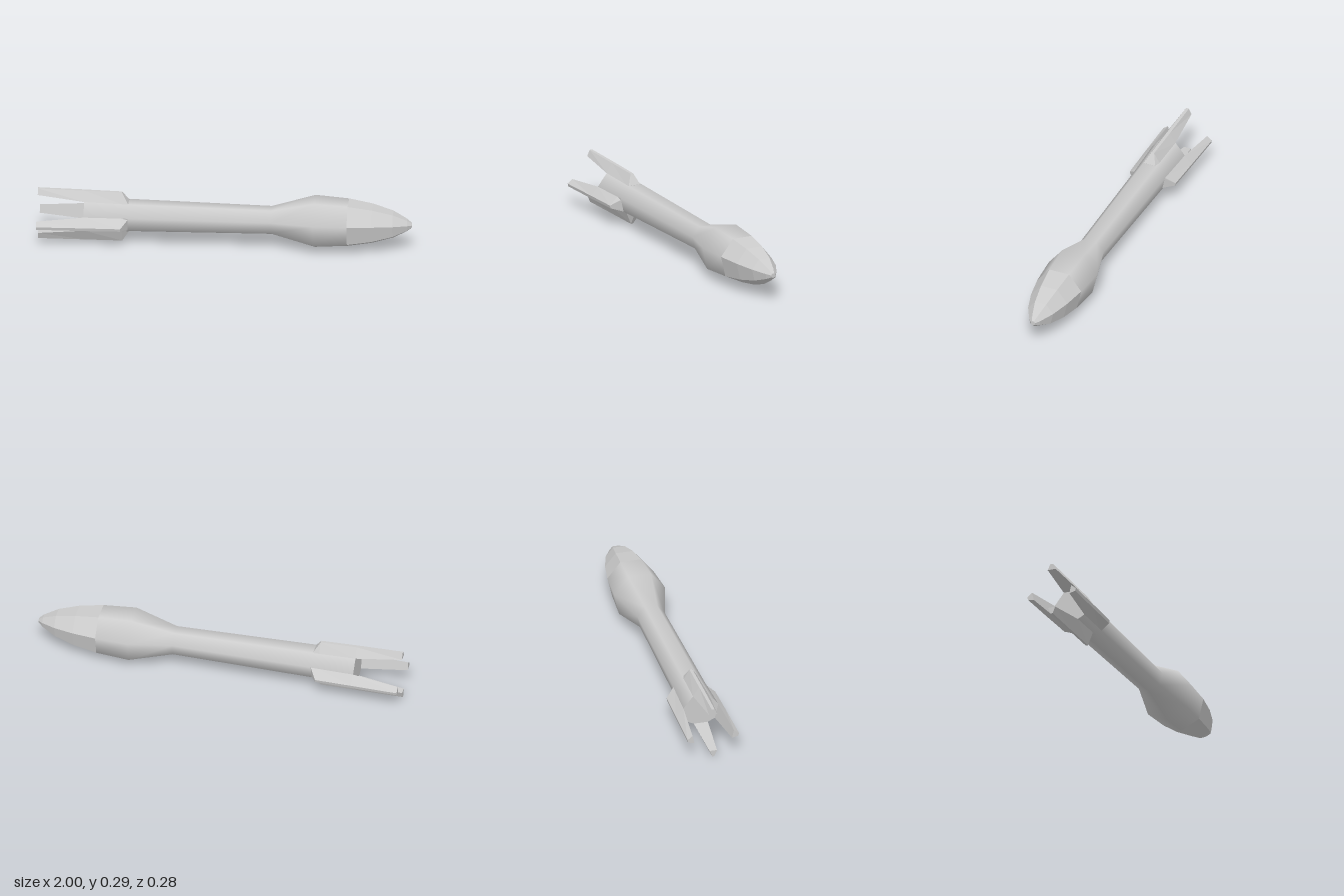
import * as THREE from 'three';

const SIDES = 7;
const AXIS_Y = 0.15;
const HALF = Math.PI / SIDES;

export function createModel() {
  const model = new THREE.Group();
  const smooth = new THREE.MeshStandardMaterial({ color: 0xcccccc });
  const flat = new THREE.MeshStandardMaterial({ color: 0xcccccc, flatShading: true });

  const add = (name, geometry, material) => {
    const mesh = new THREE.Mesh(geometry, material);
    mesh.name = name;
    mesh.position.y = AXIS_Y;
    model.add(mesh);
    return mesh;
  };

  // Seven-sided turned shape along x, one corner pointing down; profile is [x, radius]
  const turned = (profile) =>
    new THREE.LatheGeometry(profile.map(([x, r]) => new THREE.Vector2(r, x)), SIDES, Math.PI / 2)
      .rotateZ(-Math.PI / 2);

  // Smooth shaft swelling into the warhead
  add('body', turned([[-0.75, 0.099], [-0.52, 0.09], [0.25, 0.078], [0.48, 0.145], [0.66, 0.132]]), smooth);

  // Flat end of the shaft, between the prongs
  add('tailCap', turned([[-0.75, 0], [-0.75, 0.099]]), flat);

  // Faceted nose cone with a blunt tip
  add('nose', turned([[0.66, 0.132], [0.79, 0.109], [0.9, 0.075], [0.975, 0.034], [1, 0.013], [1, 0]]), flat);

  // Fin lofted through trapezoids: [x, inner radius, inner half width, outer radius, outer half width]
  const finGeometry = (sections) => {
    const pos = [];
    const index = [];
    for (const [x, r0, w0, r1, w1] of sections) {
      pos.push(x, r0, -w0, x, r1, -w1, x, r1, w1, x, r0, w0);
    }
    const last = (sections.length - 1) * 4;
    for (let s = 0; s < last; s += 4) {
      for (let k = 0; k < 4; k++) {
        const a = s + k;
        const b = s + ((k + 1) % 4);
        index.push(a, a + 4, b, b, a + 4, b + 4);
      }
    }
    index.push(0, 1, 2, 0, 2, 3, last, last + 2, last + 1, last, last + 3, last + 2);
    const geometry = new THREE.BufferGeometry();
    geometry.setAttribute('position', new THREE.Float32BufferAttribute(pos, 3));
    geometry.setIndex(index);
    geometry.computeVertexNormals();
    return geometry;
  };

  const c = Math.cos(HALF);
  const s = Math.sin(HALF);
  // Fin rising from a whole flat side of the shaft
  const sideFin = finGeometry([
    [-0.515, 0.09 * c, 0.09 * s, 0.09 * c + 0.001, 0.03],
    [-0.55, 0.091 * c, 0.091 * s, 0.136, 0.008],
    [-0.75, 0.099 * c, 0.099 * s, 0.14, 0.009],
    [-1, 0.112, 0.023, 0.144, 0.008],
  ]);
  // Fin straddling the lower corner of the shaft
  const lowerFin = finGeometry([
    [-0.515, 0.09 * c * c, 0.09 * c * s, 0.09, 0.006],
    [-0.55, 0.091 * c * c, 0.091 * c * s, 0.144, 0.006],
    [-0.75, 0.099 * c * c, 0.099 * c * s, 0.145, 0.006],
    [-1, 0.11, 0.021, 0.146, 0.006],
  ]);

  // Fins around the tail, angle measured from straight up
  const sideAngle = 4 * HALF;
  add('topFin', sideFin, flat);
  add('frontFin', sideFin, flat).rotation.x = sideAngle;
  add('backFin', sideFin, flat).rotation.x = -sideAngle;
  add('bottomFin', lowerFin, flat).rotation.x = Math.PI;

  return model;
}
